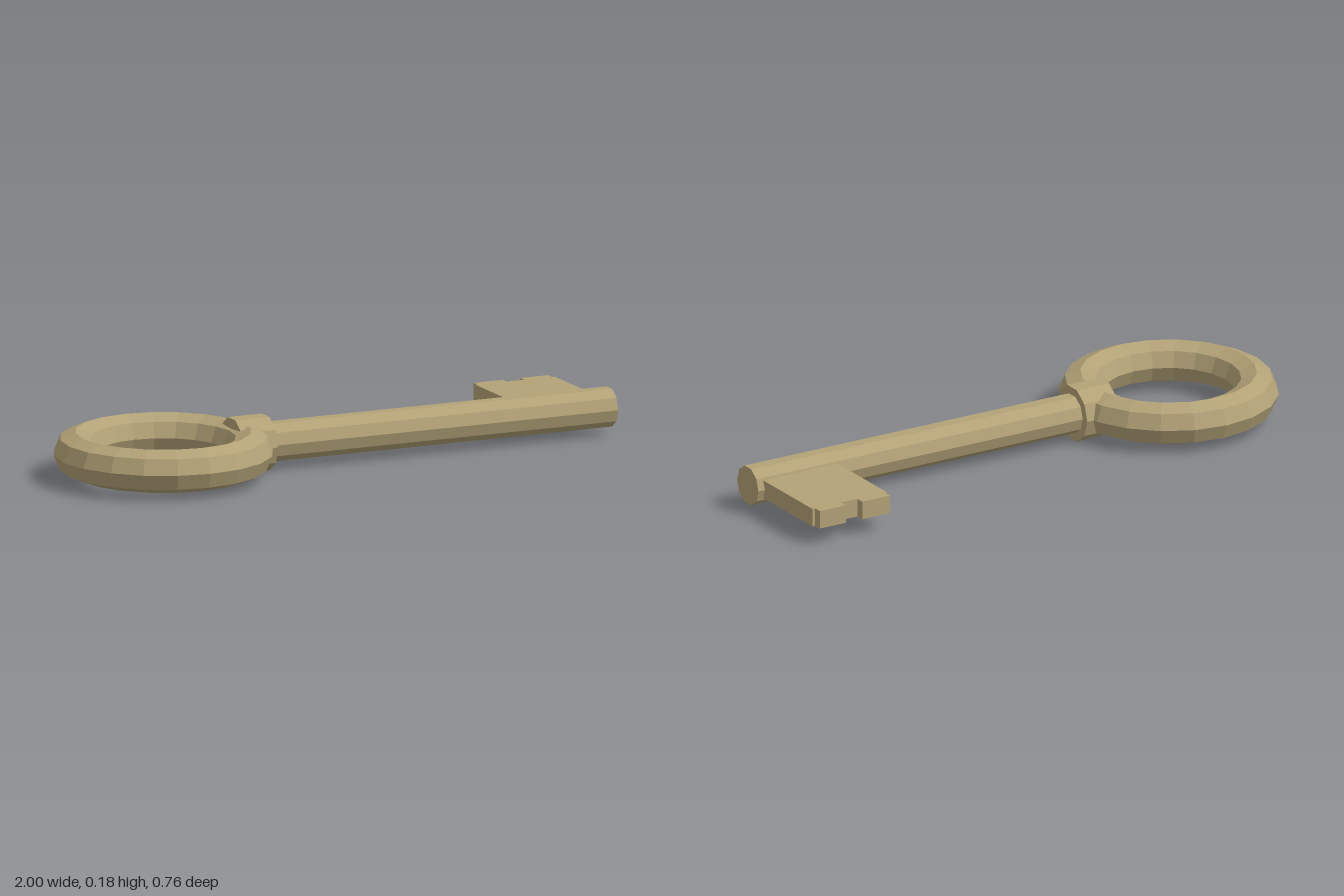
import * as THREE from 'three';

const AXIS_Y = 0.091;
const AXIS_Z = 0.015;

export function createModel() {
  const key = new THREE.Group();
  key.name = 'key';
  const brass = new THREE.MeshStandardMaterial({ color: 0xb3a277, flatShading: true });
  brass.name = 'agedBrass';

  const add = (name, geometry, x, y, z) => {
    const mesh = new THREE.Mesh(geometry, brass);
    mesh.name = name;
    mesh.position.set(x, y, z);
    key.add(mesh);
  };

  // ten-sided bar lying along x
  const bar = (name, radius, x0, x1) =>
    add(name, new THREE.CylinderGeometry(radius, radius, x1 - x0, 10).rotateZ(Math.PI / 2),
      (x0 + x1) / 2, AXIS_Y, AXIS_Z);

  // ring handle, octagonal in section
  add('bow', new THREE.TorusGeometry(0.292, 0.073, 8, 20).rotateX(Math.PI / 2), -0.635, AXIS_Y, AXIS_Z);

  // collar and shaft
  bar('collar', 0.095, -0.385, -0.26);
  bar('shaft', 0.067, -0.3, 1);

  // notched blade, drawn as x and distance towards the back
  const outline = [
    [0.685, 0], [0.975, 0], [0.975, 0.35], [0.965, 0.35], [0.965, 0.38], [0.863, 0.38],
    [0.863, 0.35], [0.8, 0.35], [0.8, 0.38], [0.693, 0.38], [0.693, 0.35], [0.685, 0.35],
  ];
  const shape = new THREE.Shape(outline.map(([x, d]) => new THREE.Vector2(x, d)));
  const blade = new THREE.ExtrudeGeometry(shape, { depth: 0.062, bevelEnabled: false });
  add('bit', blade.rotateX(-Math.PI / 2), 0, AXIS_Y - 0.031, 0);

  return key;
}
